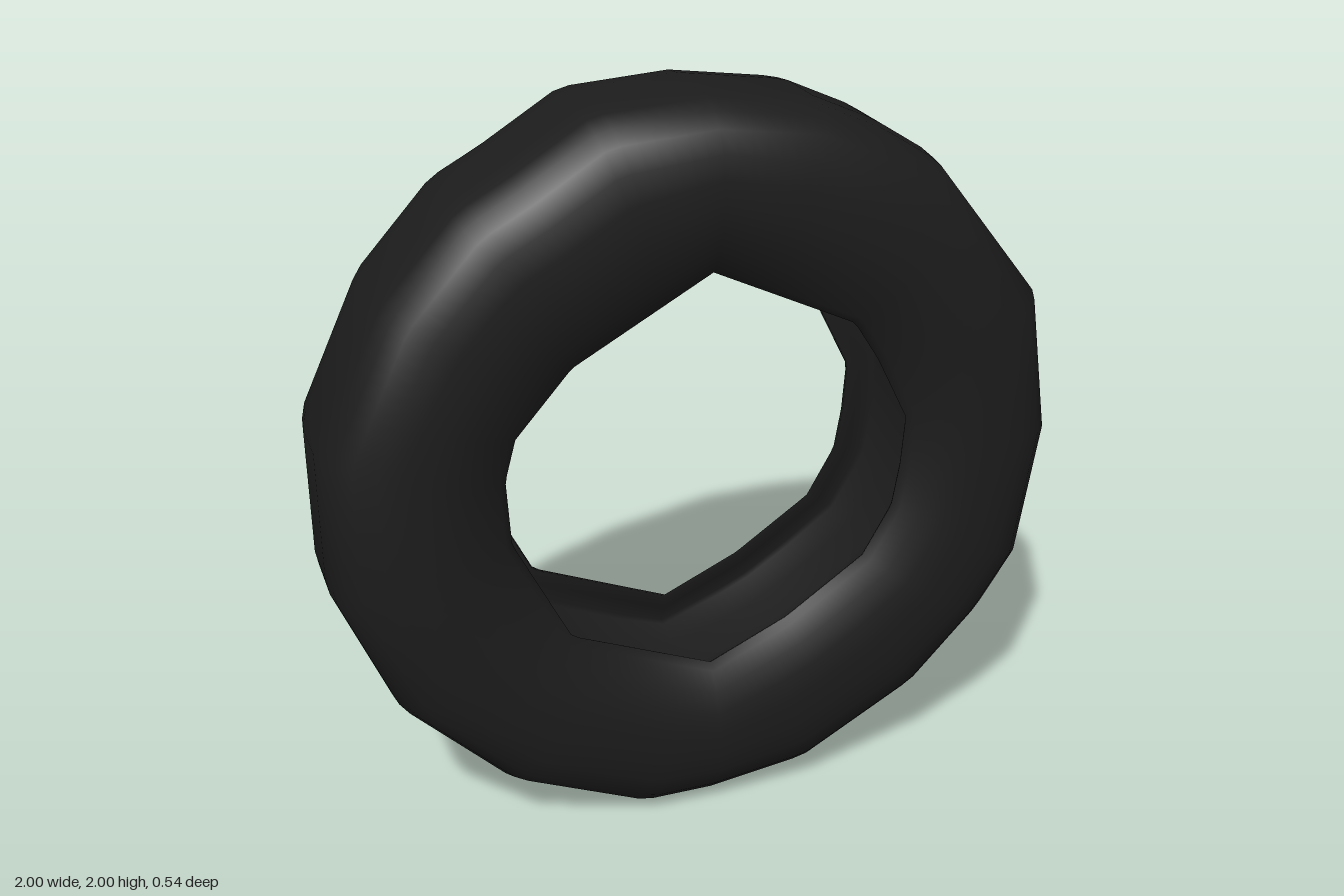
import * as THREE from 'three';

// Outlines seen along the axle, counter-clockwise, relative to the centre
const outerOutline = [
  [1, 0], [0.94, 0.39], [0.63, 0.78], [0.47, 0.88], [0.29, 0.96], [0, 1], [-0.29, 0.98],
  [-0.5, 0.85], [-0.63, 0.78], [-0.83, 0.56], [-1, 0.2], [-1, -0.2], [-0.85, -0.56],
  [-0.57, -0.84], [-0.2, -1], [0, -1], [0.29, -0.96], [0.63, -0.77], [0.83, -0.56], [0.94, -0.39],
];
const innerOutline = [
  [0.54, -0.05], [0.55, 0.09], [0.46, 0.27], [0.39, 0.38], [0, 0.565], [-0.37, 0.36], [-0.52, 0.19],
  [-0.55, 0.08], [-0.54, -0.1], [-0.39, -0.4], [0, -0.56], [0.22, -0.46], [0.44, -0.31], [0.52, -0.17],
];

// Distance from the centre to a polygon outline in direction (dx, dy)
function reach(outline, dx, dy) {
  for (let i = 0; i < outline.length; i++) {
    const [ax, ay] = outline[i];
    const [bx, by] = outline[(i + 1) % outline.length];
    const ca = ax * dy - ay * dx;
    const cb = bx * dy - by * dx;
    if (ca >= -1e-9 && cb <= 1e-9 && ca - cb > 1e-9) {
      const t = ca / (ca - cb);
      const r = (ax + (bx - ax) * t) * dx + (ay + (by - ay) * t) * dy;
      if (r > 0) return r;
    }
  }
  return 1;
}

export function createModel() {
  const rubber = new THREE.MeshStandardMaterial({ color: 0x1c1c1c });
  rubber.name = 'black rubber';

  // Half section from the rounded tread to the inner channel: [radius, half width]
  const half = [
    [1, 0.08], [0.992, 0.145], [0.97, 0.195], [0.935, 0.232], [0.88, 0.256], [0.82, 0.266],
    [0.75, 0.27], [0.69, 0.262], [0.63, 0.24], [0.58, 0.213], [0.56, 0.195], [0.565, 0.185],
    [0.61, 0.205], [0.66, 0.222], [0.668, 0.21], [0.69, 0.12],
  ];
  const section = [
    [0.698, 0],
    ...half.map(([r, w]) => [r, -w]).reverse(),
    [1, 0],
    ...half,
    [0.698, 0],
  ].map(([r, w]) => new THREE.Vector2(r, w));

  // Closed ring, turned so that the axle lies along z
  const geometry = new THREE.LatheGeometry(section, 144);
  geometry.rotateX(Math.PI / 2);

  // Pull the round ring onto the many-sided outlines, blending across the sidewall
  const pos = geometry.attributes.position;
  for (let i = 0; i < pos.count; i++) {
    const x = pos.getX(i), y = pos.getY(i);
    const r = Math.hypot(x, y);
    const dx = x / r, dy = y / r;
    const blend = THREE.MathUtils.smoothstep(r, 0.56, 0.95);
    const k = THREE.MathUtils.lerp(reach(innerOutline, dx, dy) / 0.56, reach(outerOutline, dx, dy), blend);
    pos.setXY(i, x * k, y * k);
  }

  const tire = new THREE.Mesh(geometry, rubber);
  tire.name = 'tire';
  tire.position.y = 1;

  const group = new THREE.Group();
  group.name = 'hollow tire';
  group.add(tire);
  return group;
}
